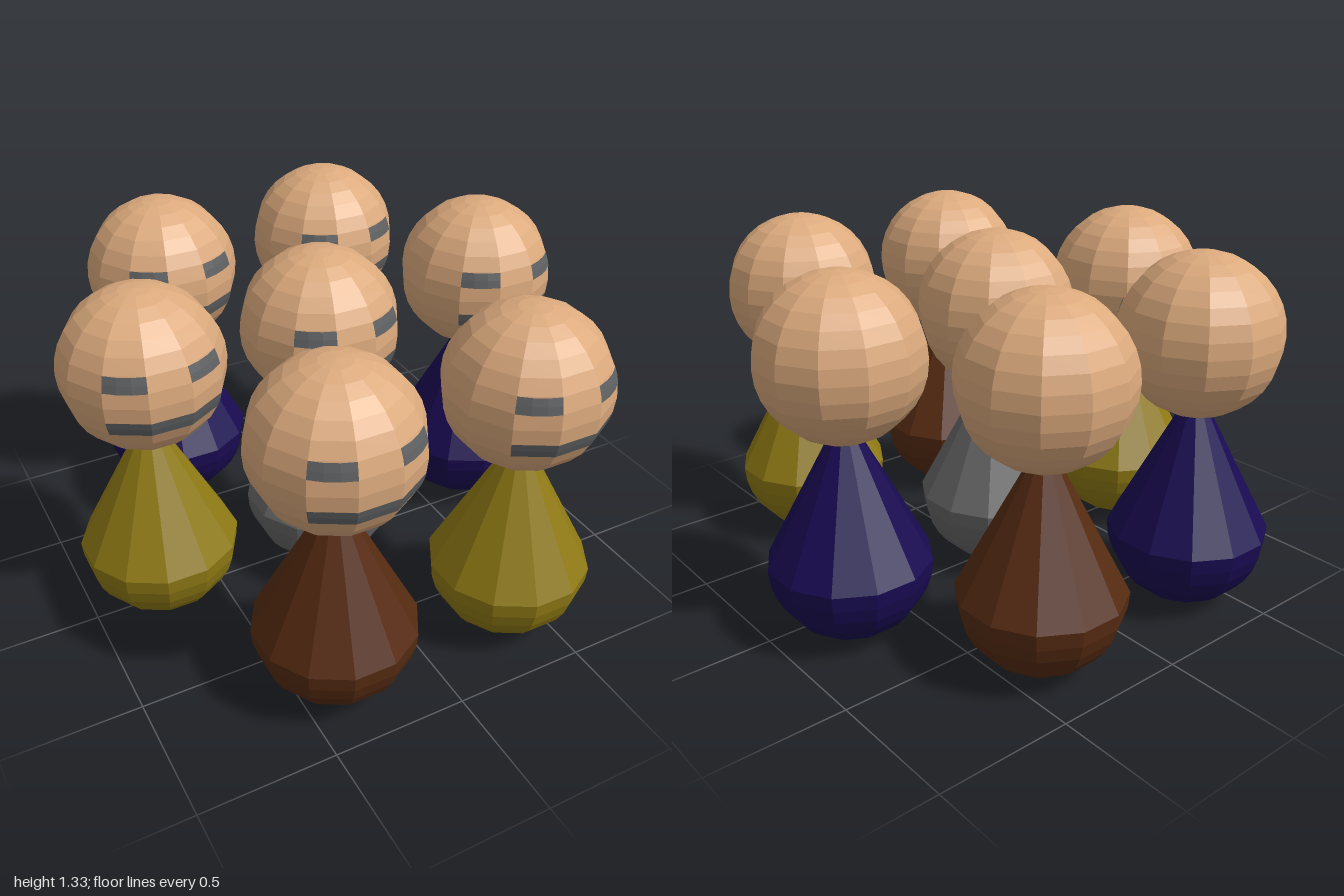
import * as THREE from 'three';

const R = 0.295;          // radius of head and body
const HEAD_Y = 1.035;     // head centre
const APEX_Y = 0.855;     // tip of the body cone, hidden in the head
const SIDES = 12, RINGS = 16;
const COL = 2 * Math.PI / SIDES, ROW = Math.PI / RINGS;

const mat = (color) => new THREE.MeshStandardMaterial({ color, flatShading: true });

// Facet patch lying on the head: columns and rows of the head's own grid
function facePatch(col, cols, row) {
  return new THREE.SphereGeometry(R * 1.004, cols, 1, COL * (col + 0.5), COL * cols, ROW * row, ROW);
}

// Drop-shaped body: half sphere below, straight cone above
function bodyGeometry() {
  const profile = [];
  for (let i = 0; i <= RINGS / 2; i++) {
    profile.push(new THREE.Vector2(R * Math.sin(i * ROW), R - R * Math.cos(i * ROW)));
  }
  profile.push(new THREE.Vector2(0, APEX_Y));
  return new THREE.LatheGeometry(profile, SIDES, COL / 2);
}

export function createModel() {
  const model = new THREE.Group();
  model.name = 'figureSet';

  const skin = mat(0xdcaa7d), dark = mat(0x5f6163);
  const yellow = mat(0x8f7a14), brown = mat(0x562b12), blue = mat(0x190b52), grey = mat(0x666666);

  const body = bodyGeometry();
  const head = new THREE.SphereGeometry(R, SIDES, RINGS, COL / 2);
  const features = {
    rightEye: facePatch(1, 1, 6),
    leftEye: facePatch(3, 1, 6),
    mouth: facePatch(1, 3, 9),
  };

  // x, z and body colour of each figure
  const figures = [
    [-0.345, 0.695, brown], [0.38, 0.695, yellow],
    [-0.715, -0.02, yellow], [-0.04, 0, grey], [0.715, -0.11, blue],
    [-0.385, -0.7, blue], [0.34, -0.7, brown],
  ];

  figures.forEach(([x, z, color], i) => {
    const figure = new THREE.Group();
    figure.name = `figure${i + 1}`;
    figure.position.set(x, 0, z);
    const add = (name, geometry, material, y) => {
      const mesh = new THREE.Mesh(geometry, material);
      mesh.name = name;
      mesh.position.y = y;
      figure.add(mesh);
    };
    add('body', body, color, 0);
    add('head', head, skin, HEAD_Y);
    for (const [name, geometry] of Object.entries(features)) add(name, geometry, dark, HEAD_Y);
    model.add(figure);
  });

  return model;
}
